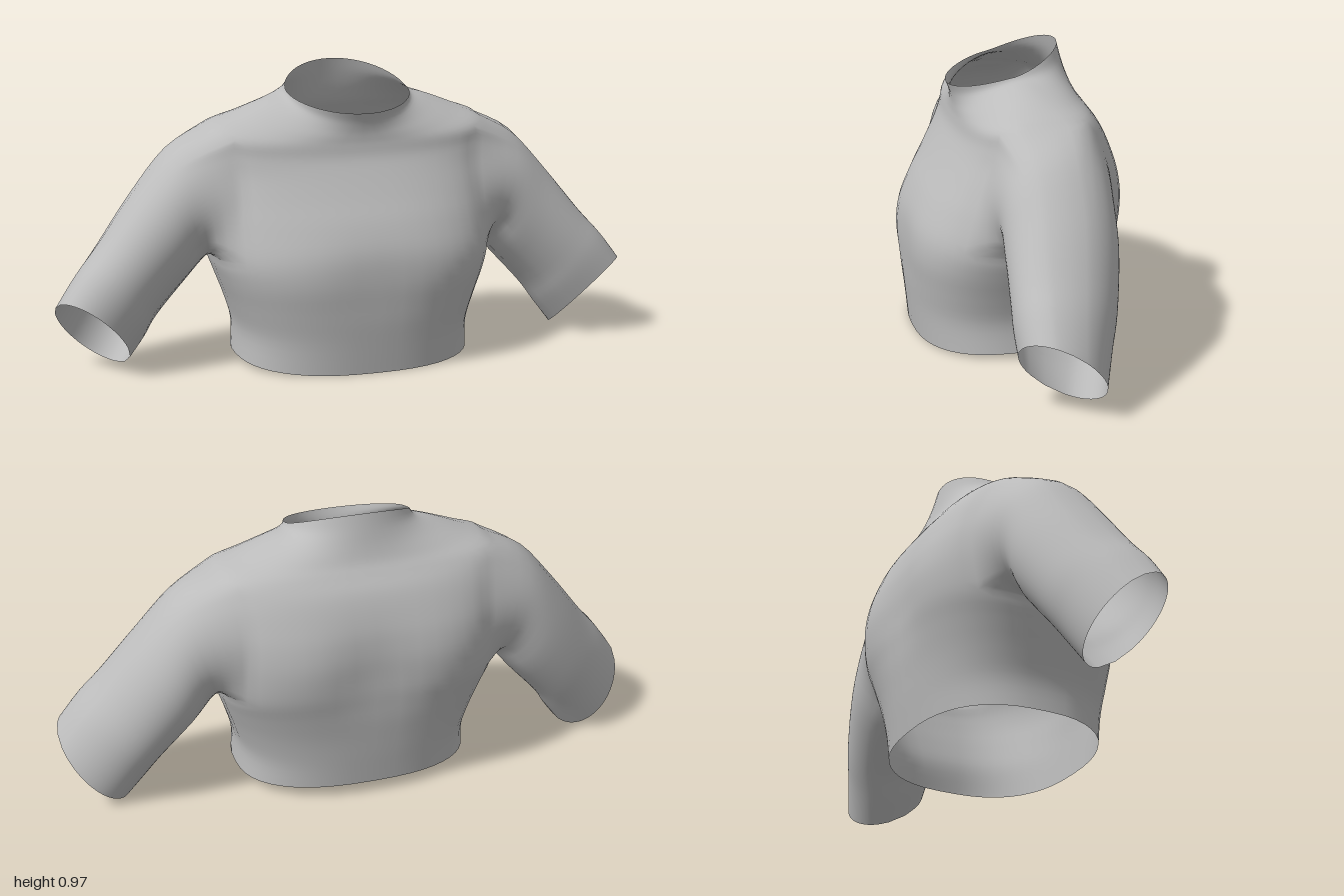
import * as THREE from 'three';

const COLS = 48, STEPS = 4, HALF = 4; // columns around, steps per section, half armhole width in columns

// Torso sections: [half width, side y, front y, back y, front z, back z, roundness across, roundness in depth]
const TORSO = [
  [0.40, 0.025, 0.003, 0.045, 0.315, -0.29, 0.82, 0.8],
  [0.396, 0.12, 0.11, 0.13, 0.327, -0.302, 0.82, 0.77],
  [0.42, 0.21, 0.21, 0.23, 0.341, -0.318, 0.83, 0.72],
  [0.45, 0.295, 0.31, 0.33, 0.352, -0.341, 0.85, 0.67],
  [0.47, 0.365, 0.40, 0.42, 0.34, -0.362, 0.87, 0.62],  // armpit
  [0.472, 0.48, 0.49, 0.51, 0.299, -0.367, 0.9, 0.57],
  [0.466, 0.58, 0.57, 0.59, 0.25, -0.35, 0.9, 0.5],
  [0.464, 0.66, 0.645, 0.665, 0.207, -0.32, 0.9, 0.46],
  [0.472, 0.73, 0.695, 0.74, 0.182, -0.283, 0.9, 0.47],
  [0.476, 0.793, 0.735, 0.79, 0.173, -0.246, 0.9, 0.56], // shoulder line
  [0.38, 0.834, 0.76, 0.825, 0.171, -0.222, 0.9, 0.7],
  [0.28, 0.872, 0.785, 0.87, 0.172, -0.205, 0.95, 0.85],
  [0.225, 0.887, 0.815, 0.925, 0.178, -0.19, 1, 0.95],
  [0.21, 0.898, 0.845, 0.978, 0.19, -0.177, 1, 1],      // collar edge
];
const ROW0 = 4 * STEPS, ROW1 = 9 * STEPS; // armhole rows

// Sleeve sections: centre, vector to the outer side, vector to the front side
const SLEEVE = [
  [0.547, 0.543, -0.047, 0.058, 0.183, 0, 0, 0, 0.184],
  [0.645, 0.434, -0.042, 0.085, 0.15, 0, 0, 0.02, 0.18],
  [0.757, 0.302, -0.02, 0.093, 0.128, 0, 0, 0.04, 0.167],
  [0.822, 0.22, 0, 0.108, 0.115, -0.004, 0, 0.06, 0.152],
  [0.8825, 0.138, 0.015, 0.118, 0.095, -0.007, 0, 0.081, 0.135],
];

// Smooth interpolation through a list of equal-length number arrays
function interpolate(list, steps) {
  const out = [], n = list.length;
  for (let i = 0; i < n - 1; i++) {
    const a = list[Math.max(i - 1, 0)], b = list[i], c = list[i + 1], d = list[Math.min(i + 2, n - 1)];
    for (let s = 0; s < steps; s++) {
      const t = s / steps;
      out.push(b.map((p, k) => p + 0.5 * t * (c[k] - a[k]
        + t * (2 * a[k] - 5 * p + 4 * c[k] - d[k] + t * (3 * (p - c[k]) + d[k] - a[k])))));
    }
  }
  out.push(list[n - 1]);
  return out;
}

const signedPow = (v, p) => Math.sign(v) * Math.pow(Math.abs(v), p);
const bump = (v, centre, width) => Math.exp(-(((v - centre) / width) ** 2));

function torsoPoint([w, yS, yF, yB, zF, zB, px, pz], col) {
  const angle = (col / COLS) * Math.PI * 2, c = Math.cos(angle), s = Math.sin(angle);
  const x = w * signedPow(c, px);
  const y = yS + ((s > 0 ? yF : yB) - yS) * Math.pow(Math.abs(s), 1.15);
  const z = (zF + zB) / 2 + ((zF - zB) / 2) * signedPow(s, pz);
  // shallow hollows along the spine and between the chest sides
  const hollow = s < 0 ? 0.042 * bump(y, 0.48, 0.17) : -0.015 * bump(y, 0.32, 0.13);
  return [x, y, z + hollow * bump(x, 0, 0.16) * Math.abs(s)];
}

function shirtGeometry() {
  const verts = [], index = [];
  const quad = (a, b, c, d, flip) => (flip ? index.push(a, c, b, a, d, c) : index.push(a, b, c, a, c, d));

  // Torso skin, leaving both armholes open
  const rows = interpolate(TORSO, STEPS);
  rows.forEach((row) => {
    for (let j = 0; j < COLS; j++) verts.push(torsoPoint(row, j));
  });
  const at = (r, j) => r * COLS + ((j + COLS) % COLS);
  const inHole = (j) => [0, COLS / 2, COLS].some((m) => j >= m - HALF && j < m + HALF);
  for (let r = 0; r < rows.length - 1; r++) {
    for (let j = 0; j < COLS; j++) {
      if (r >= ROW0 && r < ROW1 && inHole(j)) continue;
      quad(at(r, j), at(r + 1, j), at(r + 1, j + 1), at(r, j + 1));
    }
  }

  // Armhole edge: top, front, bottom, back
  const edge = [];
  for (let j = 0; j <= HALF; j++) edge.push([ROW1, j]);
  for (let r = ROW1 - 1; r >= ROW0; r--) edge.push([r, HALF]);
  for (let j = HALF - 1; j >= -HALF; j--) edge.push([ROW0, j]);
  for (let r = ROW0 + 1; r <= ROW1; r++) edge.push([r, -HALF]);
  for (let j = 1 - HALF; j < 0; j++) edge.push([ROW1, j]);

  // Sleeves grow from the armhole edge to the cuff
  for (const side of [1, -1]) {
    let previous = edge.map(([r, j]) => at(r, side > 0 ? j : COLS / 2 - j));
    const strands = previous.map((id) => {
      const [x, y, z] = verts[id];
      const s = Math.atan2(z + 0.045, y - 0.58), c = Math.cos(s), f = Math.sin(s);
      const path = SLEEVE.map((v) => [0, 1, 2].map((k) => v[k] + v[k + 3] * c + v[k + 6] * f));
      return interpolate([[x * side, y, z], ...path], 4);
    });
    for (let r = 1; r < strands[0].length; r++) {
      const ring = strands.map((strand) => {
        const [x, y, z] = strand[r];
        return verts.push([x * side, y, z]) - 1;
      });
      ring.forEach((id, k) => {
        const n = (k + 1) % ring.length;
        quad(previous[k], previous[n], ring[n], id, side < 0);
      });
      previous = ring;
    }
  }

  const geometry = new THREE.BufferGeometry();
  geometry.setAttribute('position', new THREE.Float32BufferAttribute(verts.flat(), 3));
  geometry.setIndex(index);
  geometry.computeVertexNormals();
  return geometry;
}

export function createModel() {
  const group = new THREE.Group();
  group.name = 'croppedShirt';
  const fabric = new THREE.MeshStandardMaterial({ color: 0xbcbcbc, side: THREE.DoubleSide });
  fabric.name = 'greyFabric';
  const shirt = new THREE.Mesh(shirtGeometry(), fabric);
  shirt.name = 'shirtBodyAndSleeves';
  group.add(shirt);
  return group;
}
